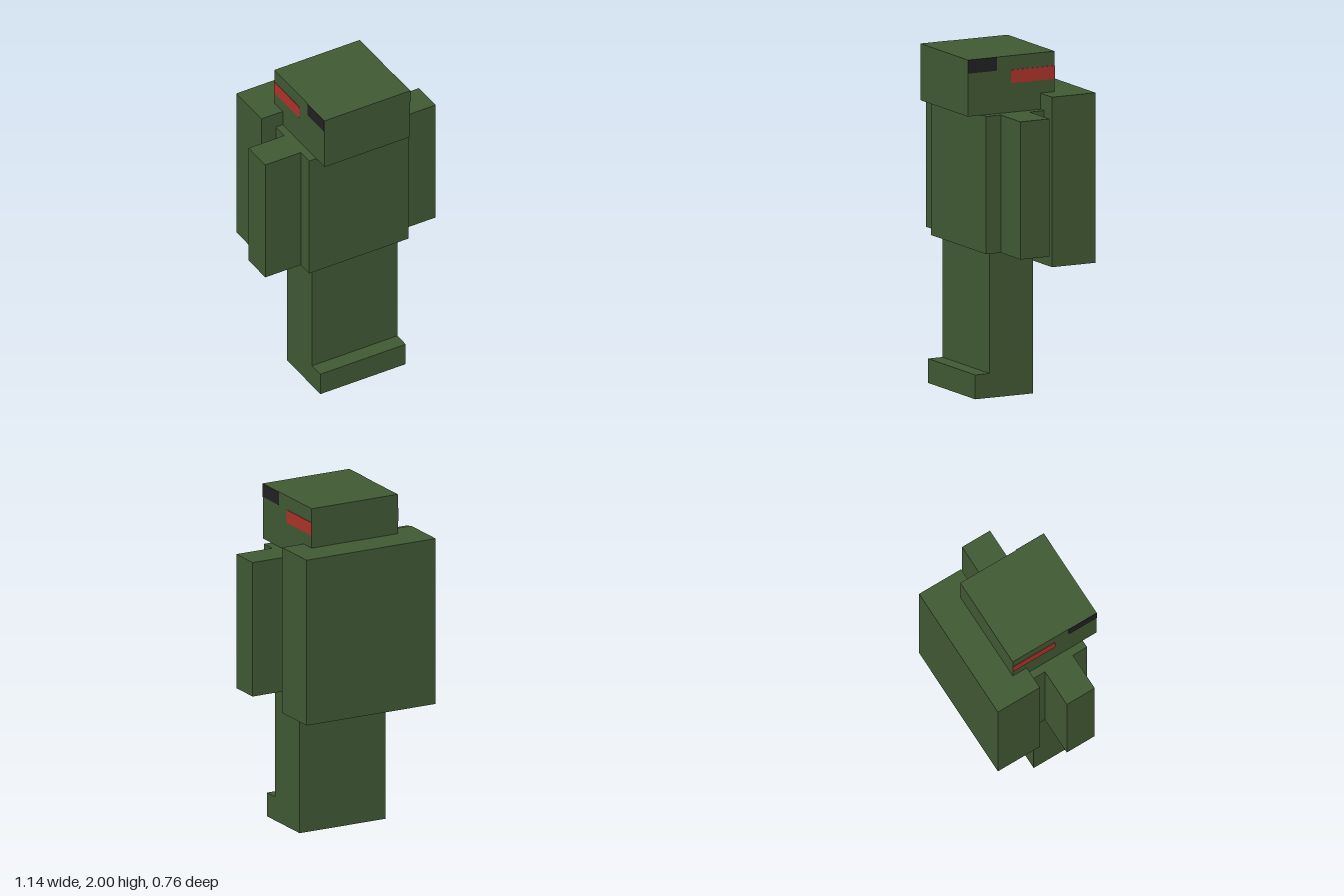
import * as THREE from 'three';

const material = (name, color) => {
  const m = new THREE.MeshStandardMaterial({ color });
  m.name = name;
  return m;
};

export function createModel() {
  const green = material('olive green', 0x425a35);
  const black = material('black', 0x222222);
  const red = material('red', 0xb0342c);
  const brown = material('brown', 0x806f48);

  const model = new THREE.Group();
  model.name = 'blockFigure';

  // Box given by its extents along each axis
  const block = (name, [x0, x1], [y0, y1], [z0, z1], mat = green) => {
    const mesh = new THREE.Mesh(new THREE.BoxGeometry(x1 - x0, y1 - y0, z1 - z0), mat);
    mesh.position.set((x0 + x1) / 2, (y0 + y1) / 2, (z0 + z1) / 2);
    mesh.name = name;
    model.add(mesh);
  };

  // Head, torso, legs and the projecting feet
  block('head', [-0.286, 0.286], [1.667, 2], [-0.19, 0.381]);
  block('torso', [-0.333, 0.333], [0.857, 1.667], [-0.095, 0.286]);
  block('legs', [-0.286, 0.286], [0, 0.857], [-0.048, 0.238]);
  block('feet', [-0.286, 0.286], [0, 0.143], [0.238, 0.333]);

  // Backpack with a brown underside (+x, -x, +y, -y, +z, -z)
  block('backpack', [-0.429, 0.429], [0.762, 1.762], [-0.381, -0.095],
    [green, green, green, brown, green, green]);

  // Thin plate on the side of the head, outlined in z and y
  const plate = (name, points, side, mat) => {
    const shape = new THREE.Shape(points.map(([z, y]) => new THREE.Vector2(z, y)));
    const depth = 0.003;
    const geo = new THREE.ExtrudeGeometry(shape, { depth, bevelEnabled: false });
    geo.rotateY(-Math.PI / 2);
    const mesh = new THREE.Mesh(geo, mat);
    mesh.position.x = side > 0 ? 0.286 + depth : -0.286;
    mesh.name = name;
    model.add(mesh);
  };

  for (const side of [1, -1]) {
    const label = side > 0 ? 'left' : 'right';
    // Arms
    block(label + 'Arm', side > 0 ? [0.333, 0.571] : [-0.571, -0.333], [0.857, 1.667], [0, 0.19]);
    // Eye patch at the front top corner, with a clipped lower corner
    plate(label + 'Eye',
      [[0.19, 2], [0.19, 1.928], [0.198, 1.92], [0.381, 1.92], [0.381, 2]], side, black);
    // Red band running to the back of the head, with clipped front corners
    plate(label + 'HeadBand',
      [[-0.19, 1.838], [0.09, 1.838], [0.098, 1.846], [0.098, 1.908], [0.09, 1.916], [-0.19, 1.916]],
      side, red);
  }

  return model;
}
